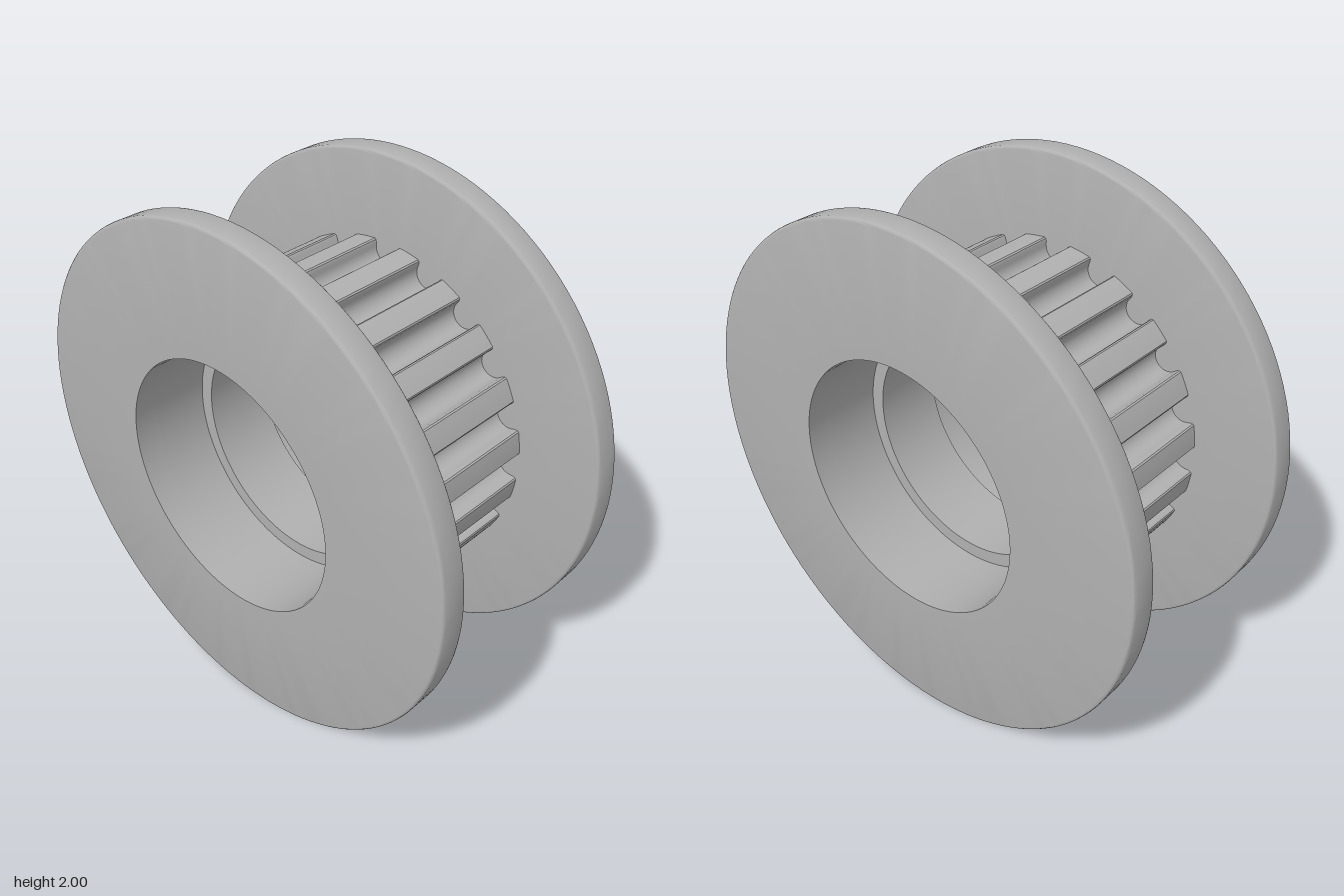
import * as THREE from 'three';
import { toCreasedNormals } from 'three/addons/utils/BufferGeometryUtils.js';

const TEETH = 20, TIP = 0.67, BORE = 0.5, SEGMENTS = 128;
const FLANGE_IN = 0.365, FLANGE_OUT = 0.47;

// Closed ring around z from a counterclockwise [radius, z] profile
function ring(profile) {
  const points = [...profile, profile[0]].map(([r, z]) => new THREE.Vector2(r, z));
  const geometry = new THREE.LatheGeometry(points, SEGMENTS).rotateX(Math.PI / 2);
  return toCreasedNormals(geometry, 0.6);
}

// Toothed outline: round-bottomed grooves with softened lips
function toothedShape() {
  const points = [];
  const grooveR = 0.052, grooveY = 0.637, edge = Math.asin(0.061 / TIP);
  for (let i = 0; i < TEETH; i++) {
    const mid = (i / TEETH) * Math.PI * 2;
    const add = (r, t) => {
      const c = Math.cos(mid), s = Math.sin(mid);
      points.push(new THREE.Vector2(r * c - t * s, r * s + t * c));
    };
    const polar = (a) => add(TIP * Math.cos(a), TIP * Math.sin(a));
    polar(-edge);
    add(0.663, -0.055);
    add(0.654, -grooveR);
    for (let k = 0; k <= 12; k++) {
      const a = (k / 12) * Math.PI;
      add(grooveY - grooveR * Math.sin(a), -grooveR * Math.cos(a));
    }
    add(0.654, grooveR);
    add(0.663, 0.055);
    polar(edge);
    // Points along the curved top of the tooth
    const step = (Math.PI * 2 / TEETH - 2 * edge) / 4;
    for (let k = 1; k < 4; k++) polar(edge + k * step);
  }
  const shape = new THREE.Shape(points);
  shape.holes.push(new THREE.Path().absarc(0, 0, BORE, 0, Math.PI * 2, true));
  return shape;
}

export function createModel() {
  const metal = new THREE.MeshStandardMaterial({ color: 0xb0b0b0 });
  metal.name = 'grey metal';
  const model = new THREE.Group();
  model.name = 'timingPulley';
  const add = (name, geometry) => {
    const mesh = new THREE.Mesh(geometry, metal);
    mesh.name = name;
    mesh.position.y = 1;
    model.add(mesh);
    return mesh;
  };

  // Toothed hub between the flanges
  const hub = new THREE.ExtrudeGeometry(toothedShape(), {
    depth: 2 * FLANGE_IN, bevelEnabled: false, curveSegments: SEGMENTS,
  }).translate(0, 0, -FLANGE_IN);
  add('toothedHub', toCreasedNormals(hub, 0.6));

  // Flanges with rounded rims
  const e = 0.012, half = (FLANGE_OUT - FLANGE_IN) / 2;
  const profile = [[BORE, -half], [1 - e, -half]];
  for (const side of [-1, 1]) {
    for (let k = 0; k <= 3; k++) {
      const a = (side < 0 ? k - 3 : k) / 3 * Math.PI / 2;
      profile.push([1 - e + e * Math.cos(a), side * (half - e) + e * Math.sin(a)]);
    }
  }
  profile.push([BORE, half]);
  for (const [name, side] of [['frontFlange', 1], ['backFlange', -1]]) {
    add(name, ring(profile)).position.z = side * (FLANGE_IN + half);
  }

  // Narrow shoulder in the middle of the bore
  add('boreShoulder', ring([[0.445, -0.14], [0.52, -0.14], [0.52, 0.14], [0.445, 0.14]]));

  return model;
}
